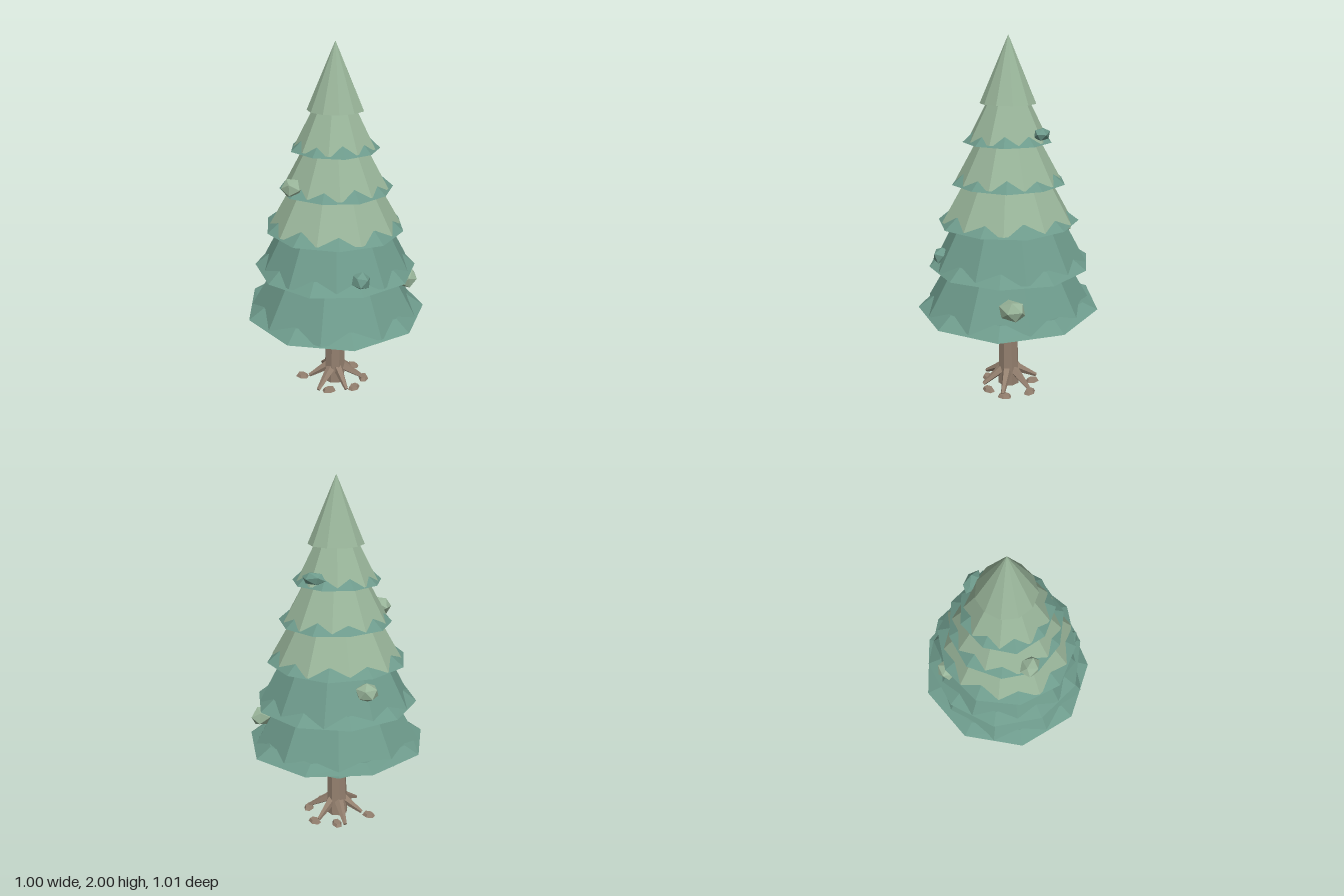
import * as THREE from 'three';

const mat = (name, color) => {
  const m = new THREE.MeshStandardMaterial({ color, flatShading: true });
  m.name = name;
  return m;
};

export function createModel() {
  const tree = new THREE.Group();
  tree.name = 'pineTree';
  const teal = mat('deep needle green', 0x6d9a8b);
  const light = mat('pale needle green', 0x98b499);
  const bark = mat('bark brown', 0x94806f);

  const add = (name, geo, material, x = 0, y = 0, z = 0) => {
    const mesh = new THREE.Mesh(geo, material);
    mesh.name = name;
    mesh.position.set(x, y, z);
    tree.add(mesh);
    return mesh;
  };

  // Small uneven variation of the radius around a ring; the seam stays closed
  const wobble = (geo, amount, seed) => {
    const p = geo.attributes.position;
    for (let i = 0; i < p.count; i++) {
      const a = Math.atan2(p.getZ(i), p.getX(i));
      const k = 1 + amount * Math.sin(3 * a + seed) * Math.cos(2 * a - seed * 2);
      p.setX(i, p.getX(i) * k);
      p.setZ(i, p.getZ(i) * k);
    }
    geo.computeVertexNormals();
    return geo;
  };

  // Foliage tiers: a steep skirt, with a flatter fringe whose corners fall between the skirt's
  const tiers = [
    // base y, rim radius, skirt radius, top radius, top y, sides, material
    [0.50, 0.515, 0.475, 0.31, 0.80, 9, teal],
    [0.765, 0.455, 0.425, 0.285, 1.04, 10, teal],
    [1.005, 0.390, 0.365, 0.225, 1.26, 10, light],
    [1.225, 0.312, 0.290, 0.155, 1.48, 10, light],
    [1.445, 0.242, 0.222, 0.100, 1.69, 9, light],
    [1.65, 0, 0.152, 0.001, 2.0, 11, light],
  ];
  tiers.forEach(([y, rim, skirt, top, topY, sides, material], i) => {
    const start = -Math.PI / 2 + i * 0.35;
    const lift = rim ? 0.01 : 0;
    const h = topY - y - lift;
    add('foliageTier' + (i + 1),
      wobble(new THREE.CylinderGeometry(top, skirt, h, sides, 1, false, start + Math.PI / sides), 0.03, i),
      material, 0, y + lift + h / 2, 0);
    if (!rim) return;
    const fh = 0.06;
    const inner = skirt + (top - skirt) * (fh / h) - 0.012;
    const fringe = wobble(new THREE.CylinderGeometry(inner, rim, fh, sides, 1, false, start), i ? 0.03 : 0, i);
    // The lowest rim lifts a little towards the back left
    const p = fringe.attributes.position;
    for (let j = 0; j < p.count; j++) {
      const lifted = Math.max(0, -p.getX(j) - p.getZ(j)) * (i ? 0.015 : 0.045);
      if (p.getY(j) < 0) p.setY(j, p.getY(j) + lifted);
    }
    add('fringe' + (i + 1), fringe, teal, 0, y + fh / 2, 0);
  });

  // Needle clumps poking out of the tiers
  [
    [-0.16, 1.27, 0.225, 0.062, 0.056, 0.055, light],
    [0.24, 0.825, 0.29, 0.055, 0.052, 0.052, teal],
    [0.38, 0.645, -0.205, 0.055, 0.06, 0.078, light],
    [0.02, 1.50, -0.205, 0.07, 0.036, 0.04, teal],
    [-0.295, 0.935, -0.21, 0.065, 0.05, 0.065, light],
  ].forEach(([x, y, z, sx, sy, sz, material], i) => {
    const clump = new THREE.IcosahedronGeometry(1, 0).rotateY(i * 1.3).rotateX(i * 0.4).scale(sx, sy, sz);
    add('needleClump' + (i + 1), clump, material, x, y, z);
  });

  // Trunk in two slightly stepped lengths, leaning a touch
  const lower = add('lowerTrunk', new THREE.CylinderGeometry(0.054, 0.064, 0.395, 8), bark, 0, 0.2025, 0);
  lower.rotation.z = -0.02;
  add('upperTrunk', new THREE.CylinderGeometry(0.05, 0.052, 0.2, 8), bark, 0.004, 0.49, 0);

  // Tapered roots running from the trunk down to the ground
  const up = new THREE.Vector3(0, 1, 0);
  for (let i = 0; i < 6; i++) {
    const a = Math.PI / 4 + i * Math.PI / 3;
    const reach = 0.155 + 0.02 * (i % 2);
    const from = new THREE.Vector3(Math.cos(a) * reach, 0.015, Math.sin(a) * reach);
    const to = new THREE.Vector3(Math.cos(a) * 0.035, 0.1, Math.sin(a) * 0.035);
    const dir = to.clone().sub(from);
    const root = add('root' + (i + 1), new THREE.CylinderGeometry(0.03, 0.011, dir.length(), 5), bark);
    root.position.copy(from).add(to).multiplyScalar(0.5);
    root.quaternion.setFromUnitVectors(up, dir.normalize());
  }

  // Flat bark chips lying around the base
  [[-0.195, 0.045], [0.01, 0.135], [0.14, 0.06], [0.165, -0.055], [-0.07, -0.125], [0.06, -0.165]]
    .forEach(([x, z], i) => {
      const chip = new THREE.CylinderGeometry(0.03, 0.042, 0.018, 6).scale(1, 1, 0.7).rotateY(i * 0.6);
      add('barkChip' + (i + 1), chip, bark, x, 0.009, z);
    });

  return tree;
}
